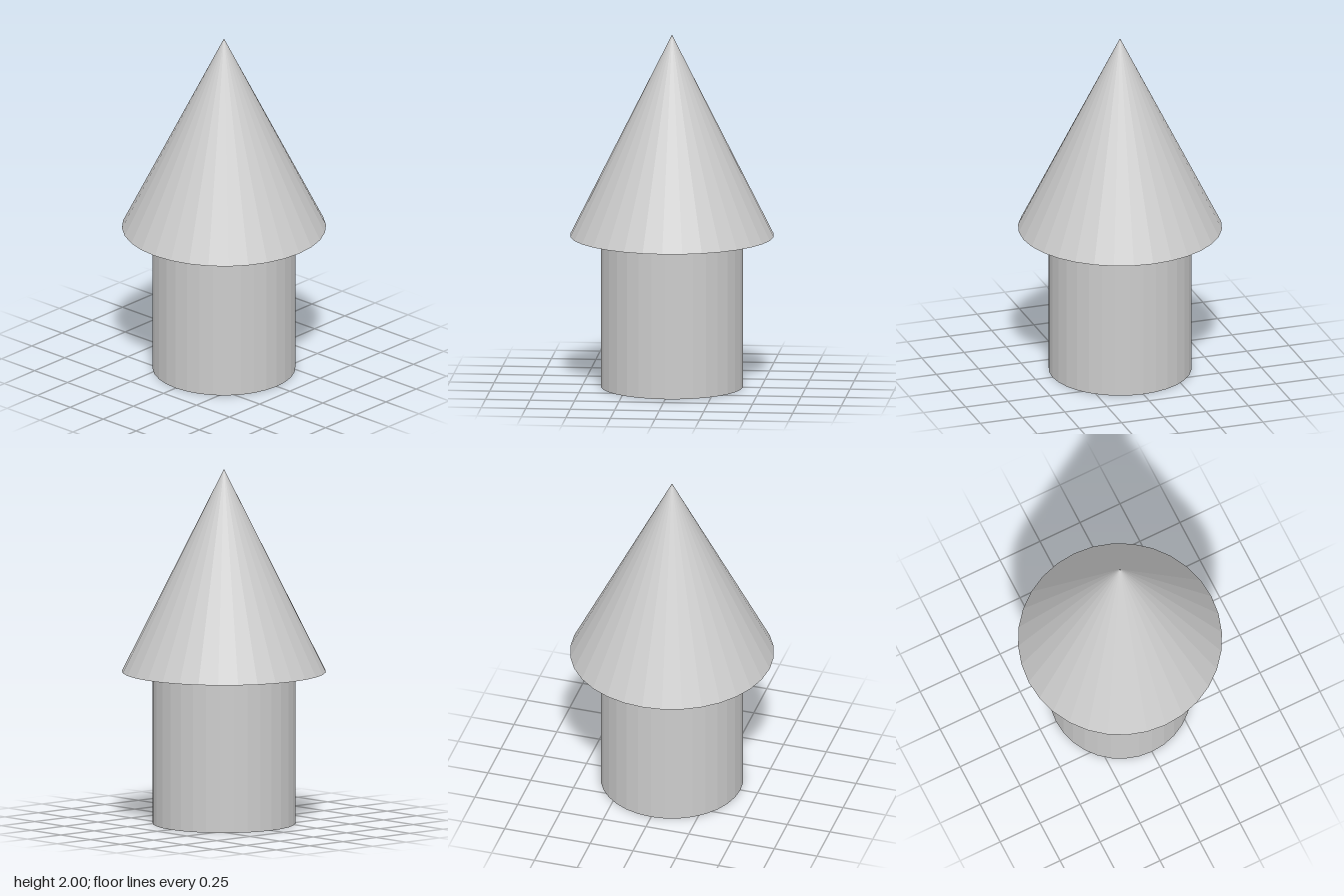
import * as THREE from 'three';

const SIDES = 32;
const BODY_RADIUS = 0.4;
const BODY_HEIGHT = 6 / 7;
const ROOF_RADIUS = 4 / 7;
const ROOF_HEIGHT = 2 - BODY_HEIGHT;

export function createModel() {
  const group = new THREE.Group();
  group.name = 'tower';
  const material = new THREE.MeshStandardMaterial({ color: 0xcccccc, flatShading: true });

  // Round base, standing on the ground
  const body = new THREE.Mesh(
    new THREE.CylinderGeometry(BODY_RADIUS, BODY_RADIUS, BODY_HEIGHT, SIDES),
    material
  );
  body.name = 'body';
  body.position.y = BODY_HEIGHT / 2;

  // Overhanging cone on top
  const roof = new THREE.Mesh(new THREE.ConeGeometry(ROOF_RADIUS, ROOF_HEIGHT, SIDES), material);
  roof.name = 'roof';
  roof.position.y = BODY_HEIGHT + ROOF_HEIGHT / 2;

  group.add(body, roof);
  return group;
}
